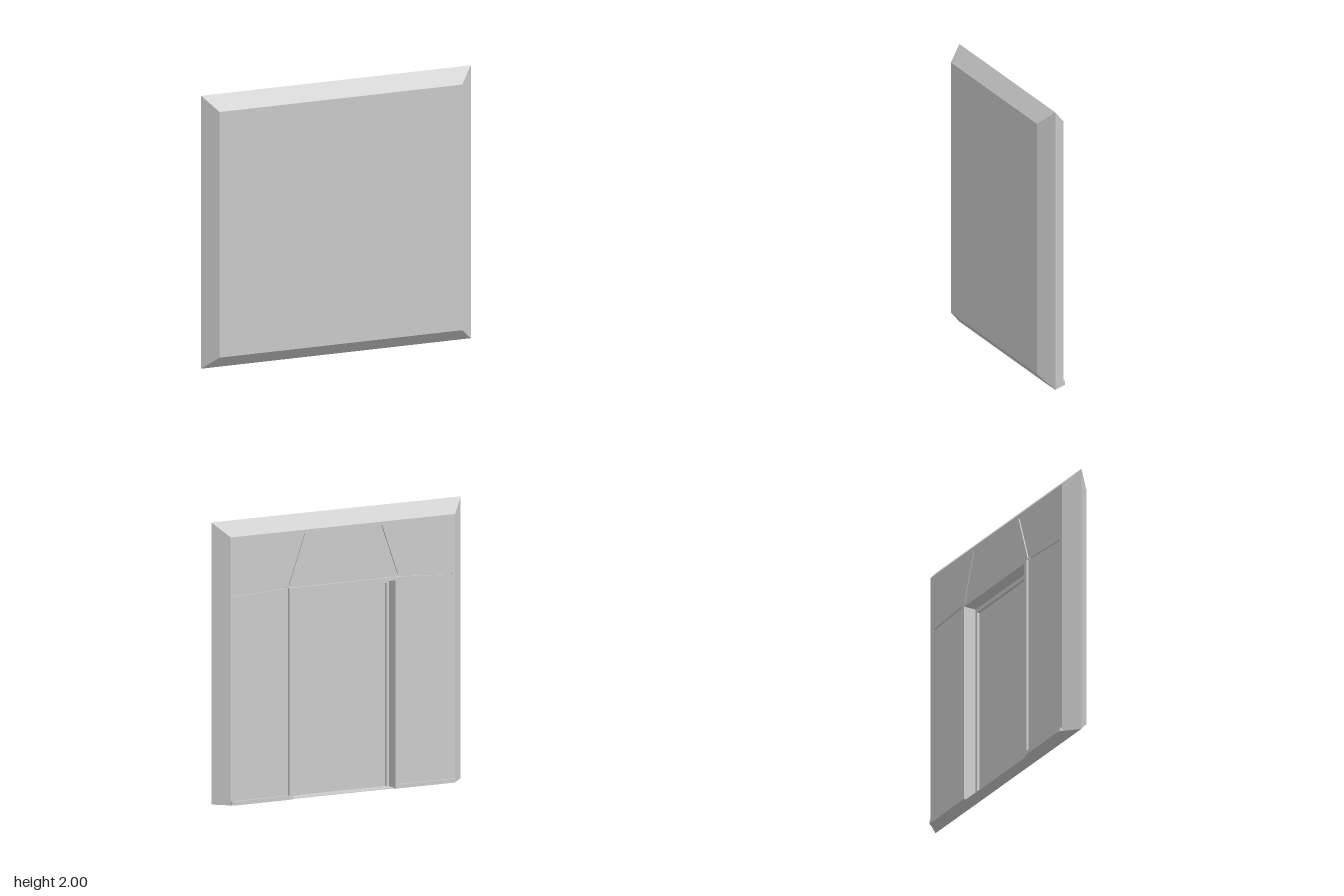
import * as THREE from 'three';

const Z = { front: 0.107, rim: 0.008, back: -0.09, trim: -0.108, ledge: -0.015, door: 0.005 };

export function createModel() {
  const group = new THREE.Group();
  const material = new THREE.MeshStandardMaterial({ color: 0xcccccc, flatShading: true });
  const add = (name, geometry) => {
    const mesh = new THREE.Mesh(geometry, material);
    mesh.name = name;
    group.add(mesh);
    return mesh;
  };
  const vectors = (pts, sign = 1) => pts.map(([x, y]) => new THREE.Vector2(sign * x, y));

  // Strip of quads between two matching outlines at two depths
  const band = (name, a, za, b, zb, closed = true) => {
    const pos = [];
    const count = closed ? a.length : a.length - 1;
    for (let i = 0; i < count; i++) {
      const j = (i + 1) % a.length;
      const p = [...a[i], za], q = [...a[j], za], r = [...b[j], zb], s = [...b[i], zb];
      pos.push(...p, ...q, ...r, ...p, ...r, ...s);
    }
    const geometry = new THREE.BufferGeometry();
    geometry.setAttribute('position', new THREE.Float32BufferAttribute(pos, 3));
    geometry.computeVertexNormals();
    return add(name, geometry);
  };

  // Flat face that looks toward -z
  const backFace = (name, outline, z, holes = []) => {
    const shape = new THREE.Shape(vectors(outline, -1));
    shape.holes = holes.map((h) => new THREE.Path(vectors(h, -1)));
    return add(name, new THREE.ShapeGeometry(shape).rotateY(Math.PI).translate(0, 0, z));
  };

  // Rectangle, counter-clockwise seen from the front
  const rect = (w, y0, y1) => [[-w, y0], [w, y0], [w, y1], [-w, y1]];
  // Open doorway path: up one side, across, down the other
  const arch = (w, h) => [[-w, 0], [-w, h], [w, h], [w, 0]];
  // Region between two doorway paths
  const archBand = (outer, inner) => [...outer, ...[...inner].reverse()];

  const rim = rect(1, 0, 2);
  const frontRect = rect(0.9, 0.1, 1.9);
  const backRect = rect(0.9, 0, 1.9);
  const opening = arch(0.41, 1.478);
  const doorEdge = arch(0.39, 1.447);

  // Bevelled wall block
  add('frontFace', new THREE.ShapeGeometry(new THREE.Shape(vectors(frontRect))).translate(0, 0, Z.front));
  band('frontBevel', rim, Z.rim, frontRect, Z.front);
  band('backBevel', backRect, Z.back, rim, Z.rim);

  // Thin panel grooves cut in the back
  const groove = ([x0, y0], [x1, y1], half = 0.006) => {
    const len = Math.hypot(x1 - x0, y1 - y0);
    const nx = (-(y1 - y0) / len) * half, ny = ((x1 - x0) / len) * half;
    return [[x0 - nx, y0 - ny], [x1 - nx, y1 - ny], [x1 + nx, y1 + ny], [x0 + nx, y0 + ny]];
  };
  const grooves = [];
  for (const side of [-1, 1]) {
    for (const [a, b] of [[[0.452, 1.504], [0.87, 1.48]], [[0.436, 1.516], [0.308, 1.875]]]) {
      grooves.push(groove([side * a[0], a[1]], [side * b[0], b[1]]));
    }
  }
  for (const g of grooves) {
    const clockwise = [...g];
    if (!THREE.ShapeUtils.isClockWise(vectors(g))) clockwise.reverse();
    band('grooveWalls', clockwise, Z.back, clockwise, Z.back + 0.012);
    backFace('grooveFloor', g, Z.back + 0.012);
  }

  // Back face with the doorway left open
  const wall = [[-0.9, 0], ...opening, [0.9, 0], [0.9, 1.9], [-0.9, 1.9]];
  backFace('backFace', wall, Z.back, grooves);

  // Doorway: reveal, stepped ledge and recessed door
  band('doorReveal', opening, Z.back, opening, Z.ledge, false);
  backFace('doorLedge', archBand(opening, doorEdge), Z.ledge);
  band('doorStep', doorEdge, Z.ledge, doorEdge, Z.door, false);
  backFace('doorPanel', doorEdge, Z.door);
  const floor = add('doorFloor', new THREE.BoxGeometry(0.82, 0.004, Z.door - Z.back));
  floor.position.set(0, 0.002, (Z.door + Z.back) / 2);

  // Raised frame around the doorway
  const frame = new THREE.Shape(vectors(archBand(arch(0.44, 1.5), opening)));
  add('doorFrame', new THREE.ExtrudeGeometry(frame, { depth: Z.back - Z.trim, bevelEnabled: false })
    .translate(0, 0, Z.trim));

  // Skirting strips with chamfered outer ends
  for (const side of [-1, 1]) {
    const plan = [[0.44, -Z.back], [0.9, -Z.back], [0.895, 0.102], [0.88, -Z.trim], [0.44, -Z.trim]];
    const shape = new THREE.Shape(vectors(plan, side));
    add('skirting', new THREE.ExtrudeGeometry(shape, { depth: 0.028, bevelEnabled: false })
      .rotateX(-Math.PI / 2));
  }

  return group;
}
